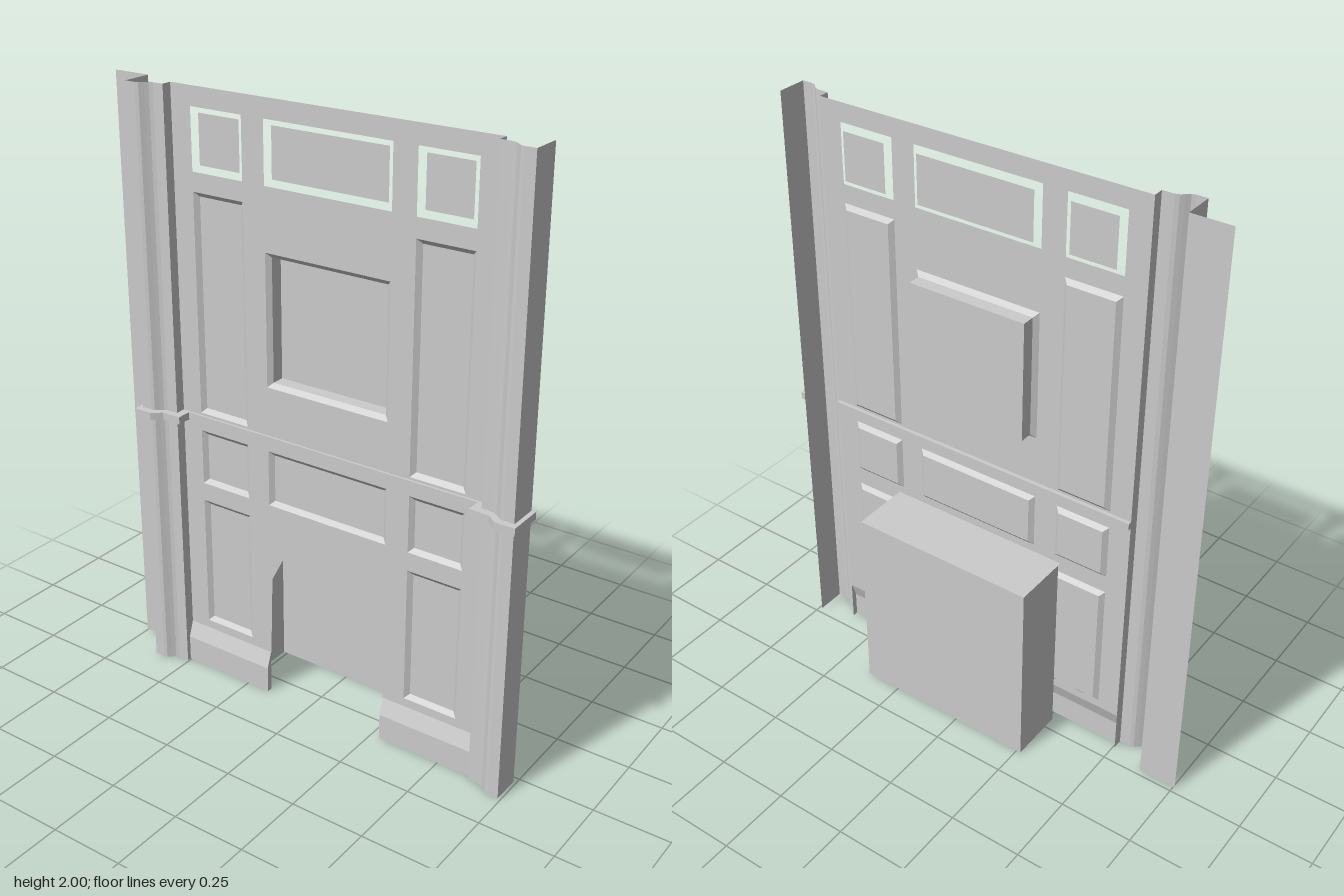
import * as THREE from 'three';

const mat = new THREE.MeshStandardMaterial({ color: 0xcccccc, flatShading: true, side: THREE.DoubleSide });
const CX = 0.0575; // symmetry axis of the chimney breast
const WALL = 0.058; // plane of the wall sheet
const PANEL = 0.045; // plane of the sunk panels
const mirrorX = (x) => 2 * CX - x;

export function createModel() {
  const group = new THREE.Group();

  const add = (name, geometry) => {
    const mesh = new THREE.Mesh(geometry, mat);
    mesh.name = name;
    group.add(mesh);
    return mesh;
  };

  // Sheet joining successive rows of [x, y, z] points
  const loft = (rows) => {
    const n = rows[0].length;
    const index = [];
    for (let r = 0; r < rows.length - 1; r++) {
      for (let i = 0; i < n - 1; i++) {
        const a = r * n + i, b = a + 1, c = a + n, d = c + 1;
        index.push(a, b, d, a, d, c);
      }
    }
    const g = new THREE.BufferGeometry();
    g.setAttribute('position', new THREE.Float32BufferAttribute(rows.flat(2), 3));
    g.setIndex(index);
    const flat = g.toNonIndexed();
    flat.computeVertexNormals();
    return flat;
  };

  // Closed rectangle loop at depth z, inset by m
  const rect = ([x0, x1, y0, y1], m, z) => [
    [x0 + m, y0 + m, z], [x1 - m, y0 + m, z], [x1 - m, y1 - m, z], [x0 + m, y1 - m, z], [x0 + m, y0 + m, z],
  ];
  const plate = (r, m, z) => {
    const w = r[1] - r[0] - 2 * m, h = r[3] - r[2] - 2 * m;
    return new THREE.PlaneGeometry(w, h).translate((r[0] + r[1]) / 2, (r[2] + r[3]) / 2, z);
  };

  // Panel layout: three columns
  const left = [-0.432, -0.243], mid = [-0.163, 0.278];
  const right = [mirrorX(left[1]), mirrorX(left[0])];
  const sunk = [];
  for (const col of [left, right]) {
    for (const row of [[0.175, 0.637], [0.7, 0.89], [0.953, 1.68]]) sunk.push([...col, ...row]);
  }
  sunk.push([...mid, 0.7, 0.89]);
  const deep = [...mid, 1.108, 1.54];
  const windows = [left, mid, right].map((col) => [...col, 1.742, 1.938]);

  // Wall sheet with arched fireplace opening
  const arch = [[-0.164, 0.145], [-0.155, 0.43], [-0.113, 0.512], [-0.035, 0.583], [0.0, 0.592], [CX, 0.6]];
  const archFull = [...arch, ...arch.slice(0, -1).reverse().map(([x, y]) => [mirrorX(x), y])];
  const x0 = -0.505, x1 = mirrorX(x0);
  const outline = [[x0, 0.145], ...archFull, [x1, 0.145], [x1, 2], [x0, 2]];
  const wall = new THREE.Shape(outline.map(([x, y]) => new THREE.Vector2(x, y)));
  for (const r of [...sunk, deep, ...windows]) {
    wall.holes.push(new THREE.Path(rect(r, 0, 0).slice(0, 4).reverse().map(([x, y]) => new THREE.Vector2(x, y))));
  }
  add('wall', new THREE.ShapeGeometry(wall).translate(0, 0, WALL));

  // Bevelled panels
  for (const r of sunk) {
    add('panelBevel', loft([rect(r, 0, WALL), rect(r, 0.015, PANEL)]));
    add('panelField', plate(r, 0.015, PANEL));
  }

  // Deep overmantel recess
  add('recessSides', loft([rect(deep, 0, WALL), rect(deep, 0.015, PANEL), rect(deep, 0.015, 0.002)]));
  add('recessBack', plate(deep, 0.015, 0.002));

  // Free panes in the top openings
  for (const r of windows) add('topPane', plate(r, 0.019, PANEL));

  // Moulded pilasters, the left one with a return flange
  const pilaster = [
    [-0.625, 0.02], [-0.625, 0.12], [-0.59, 0.12], [-0.578, 0.117], [-0.566, 0.106],
    [-0.555, 0.097], [-0.542, 0.093], [x0, 0.092], [x0, WALL],
  ];
  const upright = (pts) => loft([0, 2].map((y) => pts.map(([x, z]) => [x, y, z])));
  add('leftEdgePilaster', upright([[-0.755, 0.02], ...pilaster]));
  add('rightEdgePilaster', upright(pilaster.map(([x, z]) => [mirrorX(x), z])));

  // Skirting on both sides of the opening
  const skirting = [[0, 0.077], [0.09, 0.077], [0.122, 0.066], [0.145, WALL]];
  for (const f of [(x) => x, mirrorX]) {
    const ends = [x0, -0.166].map(f);
    add('skirting', loft(skirting.map(([y, z]) => ends.map((x) => [x, y, z]))));
    add('skirtingEnd', loft(skirting.map(([y, z]) => [[ends[1], y, z], [ends[1], y, WALL]])));
  }

  // Dado ledge following the pilasters
  const outer = [[-0.64, 0.02], [-0.64, 0.143], [-0.575, 0.143], [-0.562, 0.133], [-0.543, 0.117], [-0.477, 0.115], [-0.477, 0.066]];
  const inner = [[x0, PANEL], [x0, 0.092], [-0.545, 0.094], [-0.565, 0.106], [-0.58, 0.12], [-0.626, 0.12], [-0.626, 0.02]];
  const flip = (pts) => pts.map(([x, z]) => [mirrorX(x), z]).reverse();
  const ledge = [...outer, ...flip(outer), ...flip(inner), ...inner];
  const ledgeShape = new THREE.Shape(ledge.map(([x, z]) => new THREE.Vector2(x, z)));
  add('dadoLedge', new THREE.ExtrudeGeometry(ledgeShape, { depth: 0.025, bevelEnabled: false })
    .rotateX(Math.PI / 2).translate(0, 0.945, 0));

  // Firebox behind the arch: back, sides and top, open below
  const bx0 = -0.265, bx1 = 0.378, bz = -0.145, by = 0.672;
  const plan = [[bx0, PANEL], [bx0, bz], [bx1, bz], [bx1, PANEL]];
  add('fireboxWalls', loft([0, by].map((y) => plan.map(([x, z]) => [x, y, z]))));
  add('fireboxTop', loft([bz, WALL].map((z) => [[bx0, by, z], [bx1, by, z]])));

  return group;
}
